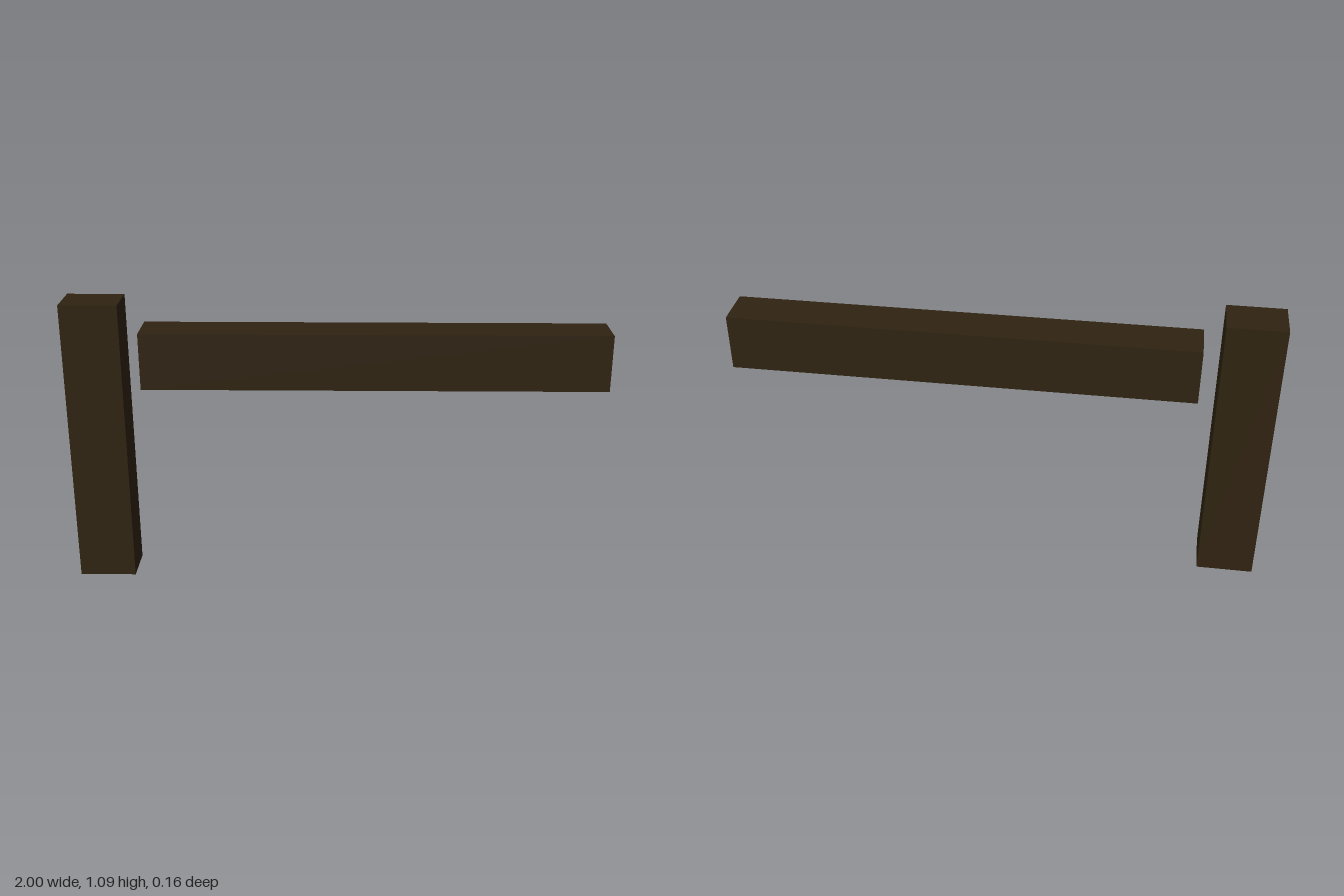
import * as THREE from 'three';

export function createModel() {
  const model = new THREE.Group();
  model.name = 'fenceSection';

  const darkWood = new THREE.MeshStandardMaterial({ color: 0x2f2311 });
  darkWood.name = 'darkWood';

  const depth = 0.16;

  // Square-edged beam spanning the given x and y ranges, centred on z
  function addBeam(name, x0, x1, y0, y1) {
    const beam = new THREE.Mesh(new THREE.BoxGeometry(x1 - x0, y1 - y0, depth), darkWood);
    beam.name = name;
    beam.position.set((x0 + x1) / 2, (y0 + y1) / 2, 0);
    model.add(beam);
  }

  // Upright post, and the rail held just clear of it
  addBeam('post', -1, -0.787, 0, 1.087);
  addBeam('rail', -0.72, 1, 0.768, 0.981);

  return model;
}
